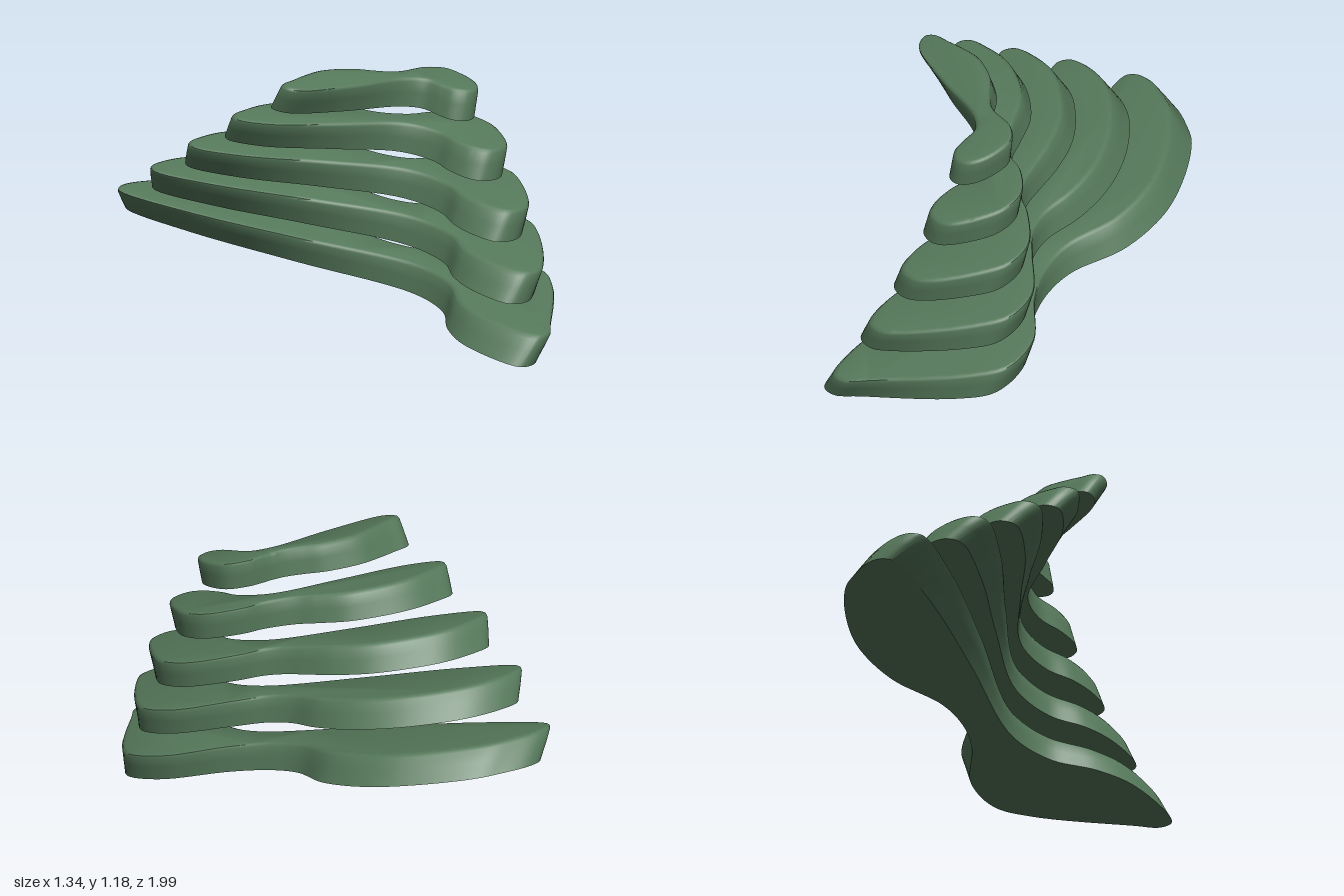
import * as THREE from 'three';
import { toCreasedNormals } from 'three/addons/utils/BufferGeometryUtils.js';

const SLOPE = 0.24;      // every slab rises towards the back
const THICK = 0.127;
const STEP = 0.209;
const TWIST = 0.11;      // underside is turned a little against the top
const PIVOT = [0.2, 0.1];

// plan outlines (x, z) of the lowest, middle and highest slab, from the rear tip clockwise
const LOW = [
  [-0.62, -0.86], [-0.595, -0.905], [-0.53, -0.93], [-0.40, -0.925], [-0.28, -0.90], [-0.07, -0.77],
  [0.08, -0.615], [0.17, -0.40], [0.17, -0.16], [0.235, -0.02], [0.36, 0.10], [0.60, 0.24],
  [0.675, 0.40], [0.61, 0.55], [0.34, 0.88], [0.26, 0.97], [0.18, 0.98], [0.07, 0.73],
  [0.09, 0.56], [0.175, 0.38], [0.15, 0.18], [-0.18, -0.22], [-0.47, -0.59]];
const MID = [
  [-0.67, -0.29], [-0.65, -0.35], [-0.56, -0.385], [-0.42, -0.40], [-0.29, -0.37], [-0.126, -0.29],
  [0.0, -0.165], [0.07, -0.06], [0.13, 0.025], [0.20, 0.08], [0.31, 0.11], [0.50, 0.21],
  [0.553, 0.33], [0.52, 0.45], [0.41, 0.64], [0.34, 0.69], [0.25, 0.69], [0.19, 0.60],
  [0.167, 0.49], [0.18, 0.36], [0.10, 0.19], [-0.20, 0.01], [-0.51, -0.15]];
const HIGH = [
  [-0.532, 0.15], [-0.51, 0.115], [-0.44, 0.092], [-0.36, 0.067], [-0.25, 0.045], [-0.10, 0.07],
  [-0.02, 0.115], [0.05, 0.147], [0.11, 0.155], [0.17, 0.15], [0.23, 0.15], [0.315, 0.19],
  [0.345, 0.27], [0.345, 0.35], [0.32, 0.405], [0.28, 0.43], [0.24, 0.43], [0.195, 0.40],
  [0.17, 0.345], [0.14, 0.275], [0.05, 0.237], [-0.23, 0.235], [-0.49, 0.205]];

// smooth closed outline at level t (0 lowest, 1 highest), blended through the three outlines
function outlineAt(t) {
  const a = (2 * t - 1) * (t - 1), b = 4 * t * (1 - t), c = t * (2 * t - 1);
  const points = LOW.map((p, i) => new THREE.Vector3(
    a * p[0] + b * MID[i][0] + c * HIGH[i][0], 0,
    a * p[1] + b * MID[i][1] + c * HIGH[i][1]));
  return new THREE.CatmullRomCurve3(points, true).getPoints(160).slice(0, -1);
}

function slabGeometry(level) {
  const outline = outlineAt(level / 4);
  const n = outline.length;
  const positions = [], index = [];

  // rings from the underside to the softly rounded upper rim: [height, inset]
  const rings = [[0, 0], [THICK / 2, 0], [THICK - 0.016, 0], [THICK - 0.005, 0.005], [THICK, 0.016]];
  rings.forEach(([h, inset]) => {
    const turn = TWIST * (1 - h / THICK), cos = Math.cos(turn), sin = Math.sin(turn);
    outline.forEach((p, i) => {
      const d = outline[(i + 1) % n].clone().sub(outline[(i + n - 1) % n]).normalize();
      const x = p.x - d.z * inset - PIVOT[0], z = p.z + d.x * inset - PIVOT[1];
      const px = PIVOT[0] + x * cos - z * sin, pz = PIVOT[1] + x * sin + z * cos;
      positions.push(px, 0.24 + level * STEP + h - SLOPE * pz, pz);
    });
  });

  // side wall
  for (let r = 0; r < rings.length - 1; r++) {
    for (let i = 0; i < n; i++) {
      const a = r * n + i, b = r * n + (i + 1) % n;
      index.push(a, a + n, b, b, a + n, b + n);
    }
  }

  // upper and lower faces
  for (const [start, up] of [[0, false], [(rings.length - 1) * n, true]]) {
    const flat = outline.map((_, i) =>
      new THREE.Vector2(positions[3 * (start + i)], -positions[3 * (start + i) + 2]));
    for (const [a, b, c] of THREE.ShapeUtils.triangulateShape(flat, [])) {
      const facesUp = flat[b].clone().sub(flat[a]).cross(flat[c].clone().sub(flat[a])) > 0;
      if (facesUp === up) index.push(start + a, start + b, start + c);
      else index.push(start + a, start + c, start + b);
    }
  }

  const geometry = new THREE.BufferGeometry();
  geometry.setAttribute('position', new THREE.Float32BufferAttribute(positions, 3));
  geometry.setIndex(index);
  return toCreasedNormals(geometry, 0.9);
}

export function createModel() {
  const model = new THREE.Group();
  model.name = 'steppedSlabs';
  const green = new THREE.MeshStandardMaterial({ color: 0x55785a });
  green.name = 'mossGreen';

  // five separate slabs, fanning out and shrinking upwards
  for (let level = 0; level < 5; level++) {
    const slab = new THREE.Mesh(slabGeometry(level), green);
    slab.name = `slab${level + 1}`;
    model.add(slab);
  }
  return model;
}
